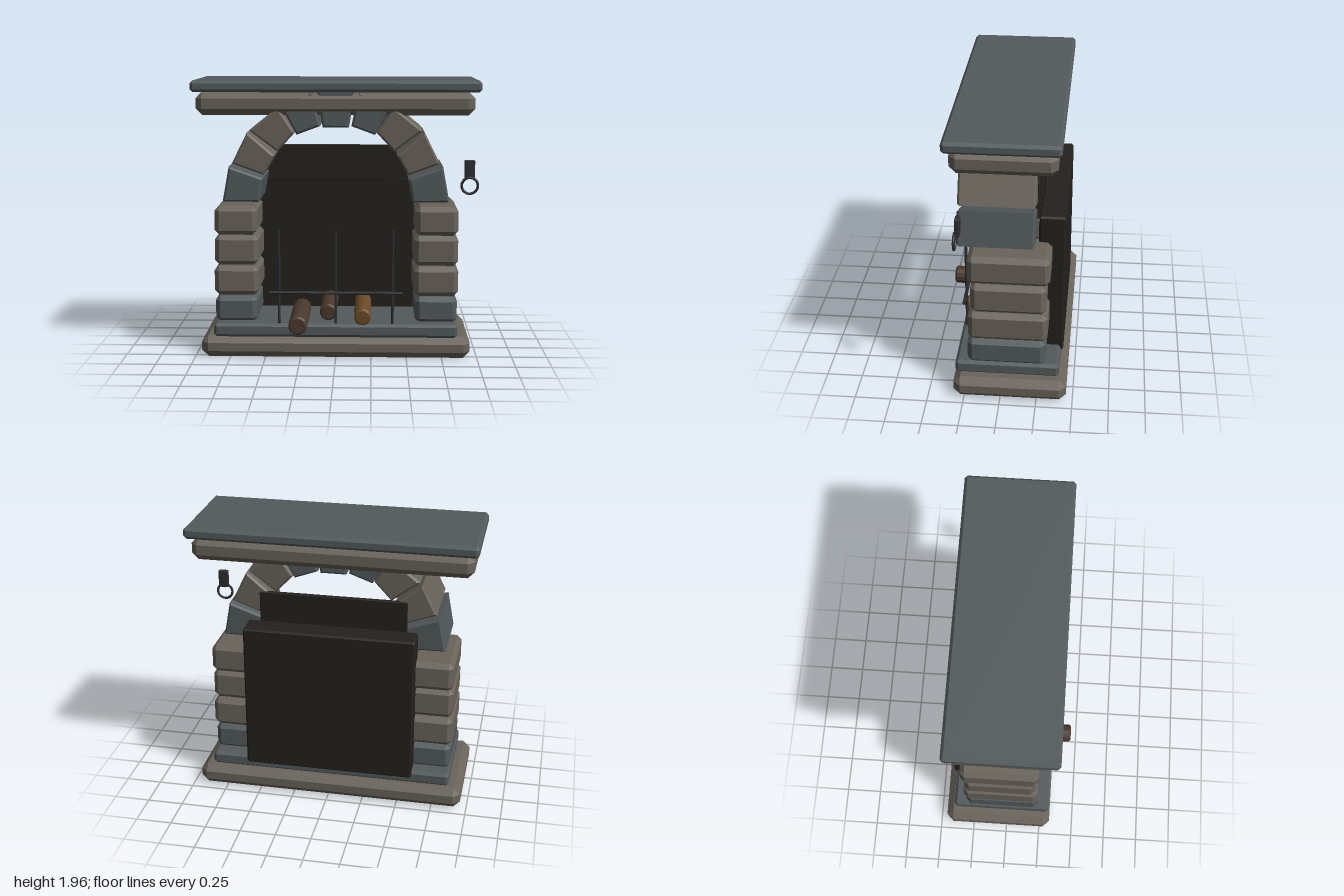
import * as THREE from 'three';
import { ConvexGeometry } from 'three/addons/geometries/ConvexGeometry.js';

const mat = (color) => new THREE.MeshStandardMaterial({ color, flatShading: true });
const warm = mat(0x69635a), slate = mat(0x535a5c), soot = mat(0x24211d);
const iron = mat(0x2e2e31), darkWood = mat(0x4a392c), paleWood = mat(0x6b4a27);

export function createModel() {
  const root = new THREE.Group();

  const add = (name, geometry, material, x = 0, y = 0, z = 0) => {
    const mesh = new THREE.Mesh(geometry, material);
    mesh.name = name;
    mesh.position.set(x, y, z);
    root.add(mesh);
    return mesh;
  };

  // Stone block given by its extents, with every edge chamfered by c
  const block = (name, material, [x0, x1], [y0, y1], [z0, z1], c) => {
    const hx = (x1 - x0) / 2, hy = (y1 - y0) / 2, hz = (z1 - z0) / 2;
    const points = [];
    for (const sx of [-1, 1]) for (const sy of [-1, 1]) for (const sz of [-1, 1]) {
      points.push(
        new THREE.Vector3(sx * hx, sy * (hy - c), sz * (hz - c)),
        new THREE.Vector3(sx * (hx - c), sy * hy, sz * (hz - c)),
        new THREE.Vector3(sx * (hx - c), sy * (hy - c), sz * hz));
    }
    return add(name, new ConvexGeometry(points), material, (x0 + x1) / 2, (y0 + y1) / 2, (z0 + z1) / 2);
  };

  // Base, hearth and mantel
  block('baseSlab', warm, [-0.955, 0.95], [0, 0.155], [-0.455, 0.325], 0.048);
  block('hearth', slate, [-0.865, 0.86], [0.15, 0.247], [-0.4, 0.315], 0.02);
  block('mantelBeam', warm, [-0.97, 0.96], [1.72, 1.88], [-0.375, 0.315], 0.045);
  block('mantelShelf', slate, [-1, 1], [1.88, 1.96], [-0.4, 0.355], 0.02);

  // Pillar stones: inner x, outer x, bottom, top, back, front
  const courses = [
    [0.562, 0.86, 0.235, 0.425, -0.305, 0.23, slate],
    [0.552, 0.867, 0.43, 0.64, -0.318, 0.225, warm],
    [0.552, 0.865, 0.645, 0.86, -0.305, 0.205, warm],
    [0.56, 0.862, 0.865, 1.07, -0.33, 0.225, warm],
  ];
  for (const [xi, xo, y0, y1, z0, z1, m] of courses) {
    block('leftPillarStone', m, [xi, xo], [y0, y1], [z0, z1], 0.033);
    block('rightPillarStone', m, [-xo, -xi], [y0, y1], [z0, z1], 0.033);
  }

  // Arch stones: wedge outlines extruded with a narrow bevel
  const bevel = 0.014, back = -0.222, front = 0.297;
  const wedge = (name, material, corners, side) => {
    const shape = new THREE.Shape(corners.map(([x, y]) => new THREE.Vector2(x * side, y)));
    const geometry = new THREE.ExtrudeGeometry(shape, {
      depth: front - back - 2 * bevel, bevelThickness: bevel, bevelSize: bevel,
      bevelOffset: -bevel, bevelSegments: 1,
    });
    add(name, geometry, material, 0, 0, back + bevel);
  };
  const wedges = [
    [slate, [[0.535, 1.115], [0.79, 1.118], [0.745, 1.362], [0.505, 1.28]]],
    [warm, [[0.503, 1.305], [0.722, 1.385], [0.615, 1.6], [0.425, 1.44]]],
    [warm, [[0.405, 1.468], [0.6, 1.615], [0.4, 1.775], [0.283, 1.6]]],
    [slate, [[0.272, 1.585], [0.395, 1.815], [0.16, 1.875], [0.108, 1.645]]],
  ];
  for (const [m, corners] of wedges) {
    wedge('leftArchStone', m, corners, 1);
    wedge('rightArchStone', m, corners, -1);
  }
  wedge('keystone', slate, [[-0.09, 1.635], [0.09, 1.635], [0.128, 1.888], [-0.128, 1.888]], 1);

  // Sooty firebox back and the panel above it
  block('fireboxBack', soot, [-0.6, 0.6], [0.2, 1.26], [-0.418, -0.238], 0.012);
  block('upperBackPanel', soot, [-0.52, 0.52], [1.2, 1.47], [-0.232, -0.2], 0.004);

  // Fire grate
  for (const x of [-0.4, 0, 0.4]) {
    add('grateRod', new THREE.CylinderGeometry(0.01, 0.01, 0.67, 8), iron, x, 0.58, 0.285);
  }
  add('grateBar', new THREE.CylinderGeometry(0.012, 0.012, 0.94, 8), iron, 0, 0.47, 0.297)
    .rotation.z = Math.PI / 2;

  // Logs lying front to back, with chamfered ends
  const log = (material, x, y, z0, z1, r) => {
    const h = (z1 - z0) / 2, c = 0.013;
    const profile = [[0, -h], [r - c, -h], [r, -h + c], [r, h - c], [r - c, h], [0, h]];
    const geometry = new THREE.LatheGeometry(profile.map(([a, b]) => new THREE.Vector2(a, b)), 14);
    add('log', geometry, material, x, y, (z0 + z1) / 2).rotation.x = Math.PI / 2;
  };
  log(darkWood, -0.26, 0.267, -0.13, 0.452, 0.066);
  log(darkWood, -0.055, 0.31, -0.3, 0.22, 0.06);
  log(paleWood, 0.19, 0.297, -0.24, 0.31, 0.06);

  // Hanging hook plate and ring
  block('hookPlate', iron, [0.893, 0.965], [1.28, 1.41], [0.25, 0.282], 0.005);
  add('hookRing', new THREE.TorusGeometry(0.056, 0.009, 8, 24), iron, 0.929, 1.235, 0.288);

  return root;
}
